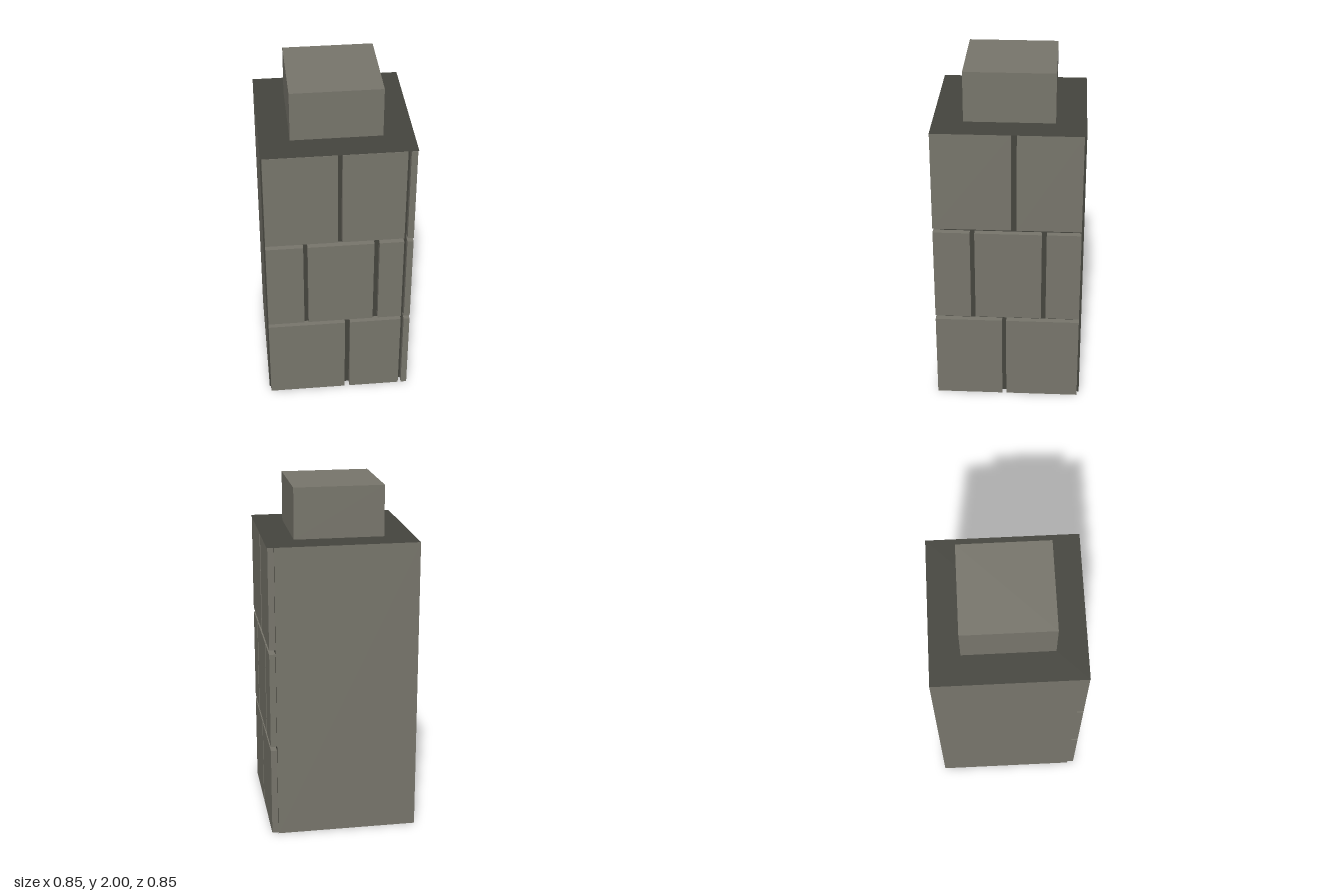
import * as THREE from 'three';

const stone = new THREE.MeshStandardMaterial({ color: 0x77756b, side: THREE.DoubleSide });
stone.name = 'stone';
const mortar = new THREE.MeshStandardMaterial({ color: 0x45453e, side: THREE.DoubleSide });
mortar.name = 'mortar';

const EDGE = 0.425;   // outer edge of the pillar
const FACE = 0.385;   // mortar plane behind the blocks
const TOP = 1.71;     // shoulder height

function add(parent, name, geometry, material, x, y, z) {
  const mesh = new THREE.Mesh(geometry, material);
  mesh.name = name;
  mesh.position.set(x, y, z);
  parent.add(mesh);
  return mesh;
}

// Block rows: [bottom, top, front spans along x, side spans along z]
const rows = [
  [0, 0.52,
    [[-0.417, 0.035], [0.065, 0.367]],
    [[-0.412, 0.012], [0.036, EDGE]]],
  [0.545, 1.10,
    [[-0.417, -0.205], [-0.18, 0.198], [0.228, 0.367]],
    [[-0.412, -0.217], [-0.19, 0.19], [0.216, EDGE]]],
  [1.125, TOP - 0.002,
    [[-0.417, -0.01], [0.015, 0.367]],
    [[-0.412, -0.048], [-0.018, EDGE]]],
];

export function createModel() {
  const model = new THREE.Group();
  model.name = 'stonePillar';

  // Open-bottomed shell: mortar behind the blocks, plain stone on the other sides
  const wall = new THREE.PlaneGeometry(EDGE + FACE, TOP);
  const mid = (FACE - EDGE) / 2;
  add(model, 'frontMortar', wall, mortar, mid, TOP / 2, FACE);
  add(model, 'leftMortar', wall, mortar, FACE, TOP / 2, mid).rotation.y = Math.PI / 2;
  add(model, 'backWall', wall, stone, mid, TOP / 2, -EDGE).rotation.y = Math.PI;
  add(model, 'rightWall', wall, stone, -EDGE, TOP / 2, mid).rotation.y = -Math.PI / 2;

  // Raised blocks on the two dressed sides
  const blocks = new THREE.Group();
  blocks.name = 'blocks';
  model.add(blocks);
  const depth = 0.42 - FACE;
  for (const [bottom, top, frontSpans, sideSpans] of rows) {
    const h = top - bottom;
    const y = (top + bottom) / 2;
    for (const [a, b] of frontSpans) {
      add(blocks, 'frontBlock', new THREE.BoxGeometry(b - a, h, EDGE - FACE), stone,
        (a + b) / 2, y, (EDGE + FACE) / 2);
    }
    for (const [a, b] of sideSpans) {
      add(blocks, 'sideBlock', new THREE.BoxGeometry(depth, h, b - a), stone,
        FACE + depth / 2, y, (a + b) / 2);
    }
  }

  // Flat shoulder and the square cap standing on it
  add(model, 'shoulder', new THREE.PlaneGeometry(2 * EDGE, 2 * EDGE), mortar, 0, TOP, 0)
    .rotation.x = -Math.PI / 2;
  add(model, 'cap', new THREE.BoxGeometry(0.51, 2 - TOP, 0.51), stone, 0, (2 + TOP) / 2, 0);

  return model;
}
